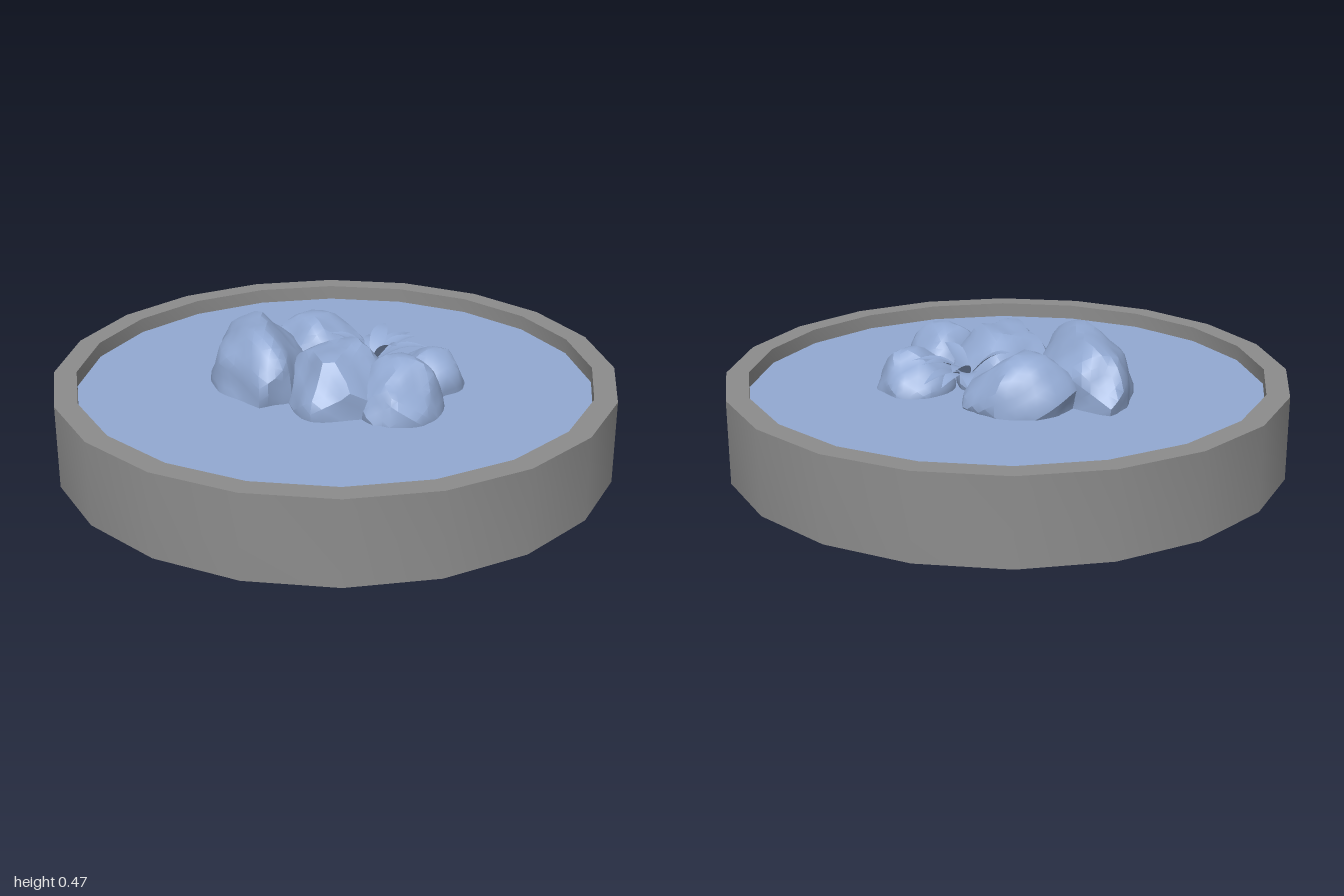
import * as THREE from 'three';
import { mergeVertices, toCreasedNormals } from 'three/addons/utils/BufferGeometryUtils.js';

const SIDES = 20, WATER_Y = 0.245;

function seeded(seed) {
  let s = seed * 7919 + 17;
  return () => ((s = (s * 16807) % 2147483647) / 2147483647);
}

// Boulder: a sphere cut by random planes, then roughened and stretched
function boulderGeometry(seed, rx, ry, rz) {
  const rnd = seeded(seed);
  for (let i = 0; i < 5; i++) rnd();
  const cuts = [];
  for (let i = 0; i < 16; i++) {
    const n = new THREE.Vector3(rnd() - 0.5, (rnd() - 0.35) * 0.9, rnd() - 0.5).normalize();
    cuts.push({ n, d: 0.84 + rnd() * 0.12 });
  }
  const phase = rnd() * 6;
  let geo = new THREE.IcosahedronGeometry(1, 5);
  geo.deleteAttribute('uv');
  geo.deleteAttribute('normal');
  geo = mergeVertices(geo, 1e-4);
  const p = geo.attributes.position, v = new THREE.Vector3();
  for (let i = 0; i < p.count; i++) {
    v.fromBufferAttribute(p, i).normalize();
    let r = 1.03;
    for (const c of cuts) {
      const t = v.dot(c.n);
      if (t > 0.1) r = Math.min(r, c.d / t);
    }
    r += 0.025 * Math.sin(v.x * 6 + phase) * Math.sin(v.z * 7 + phase * 2) + 0.02 * Math.sin(v.y * 8 + v.x * 5 + phase);
    p.setXYZ(i, v.x * r * rx, v.y * r * ry, v.z * r * rz);
  }
  return toCreasedNormals(geo, 0.5);
}

// Leaf: a pointed, folded blade arching from root to tip
function leafGeometry(root, tip, width) {
  const geo = new THREE.PlaneGeometry(1, 1, 2, 8);
  const dir = tip.clone().sub(root);
  const side = new THREE.Vector3(dir.z, 0, -dir.x).normalize();
  const p = geo.attributes.position;
  for (let i = 0; i < p.count; i++) {
    const t = p.getY(i) + 0.5, u = p.getX(i) * 2;
    const w = width * 0.5 * Math.sin(Math.PI * Math.pow(t, 0.85));
    const q = root.clone().addScaledVector(dir, t).addScaledVector(side, u * w);
    q.y += 0.03 * Math.sin(Math.PI * t) + 0.25 * w * Math.abs(u);
    p.setXYZ(i, q.x, q.y, q.z);
  }
  geo.computeVertexNormals();
  return geo;
}

export function createModel() {
  const model = new THREE.Group();
  const stone = new THREE.MeshStandardMaterial({ color: 0x8c8c8c });
  stone.name = 'grey stone';
  const blue = new THREE.MeshStandardMaterial({ color: 0x92a9d2, side: THREE.DoubleSide });
  blue.name = 'pale blue';

  const add = (parent, name, geo, mat) => {
    const mesh = new THREE.Mesh(geo, mat);
    mesh.name = name;
    parent.add(mesh);
    return mesh;
  };

  // Basin with raised rim
  const profile = [[0, 0], [1, 0], [1, 0.3], [0.92, 0.3], [0.92, 0.2], [0, 0.2]];
  const basin = new THREE.LatheGeometry(profile.map(([x, y]) => new THREE.Vector2(x, y)), SIDES);
  add(model, 'basin', toCreasedNormals(basin, 0.6), stone);

  // Water surface
  const water = add(model, 'water', new THREE.CircleGeometry(0.92, SIDES), blue);
  water.rotation.x = -Math.PI / 2;
  water.position.y = WATER_Y;

  // Boulders: name, centre, radii, turn about y, seed
  const boulders = new THREE.Group();
  boulders.name = 'boulders';
  model.add(boulders);
  [
    ['leftBoulder', [-0.275, 0.27, 0.03], [0.17, 0.21, 0.28], 0.56, 3],
    ['backBoulder', [-0.11, 0.25, -0.19], [0.2, 0.185, 0.155], 0.15, 8],
    ['middleBoulder', [0.05, 0.25, 0.1], [0.19, 0.205, 0.25], 0.3, 12],
    ['frontRightBoulder', [0.265, 0.245, 0.13], [0.155, 0.185, 0.18], 0.1, 21],
    ['backRightBoulder', [0.31, 0.24, -0.1], [0.135, 0.145, 0.15], -0.3, 34],
  ].forEach(([name, centre, radii, turn, seed]) => {
    const rock = add(boulders, name, boulderGeometry(seed, ...radii), blue);
    rock.position.set(...centre);
    rock.rotation.y = turn;
  });

  // Leafy plant between the boulders
  const plant = new THREE.Group();
  plant.name = 'plant';
  model.add(plant);
  const root = new THREE.Vector3(0.11, 0.3, -0.11);
  [
    [0.19, 0.34, -0.345], [0.1, 0.38, -0.31], [0.05, 0.33, -0.3], [0.24, 0.37, -0.23],
    [0.3, 0.36, -0.16], [0.22, 0.4, -0.04], [-0.05, 0.4, -0.1], [0.15, 0.31, -0.28],
  ].forEach((tip) => add(plant, 'leaf', leafGeometry(root, new THREE.Vector3(...tip), 0.06), blue));

  return model;
}
